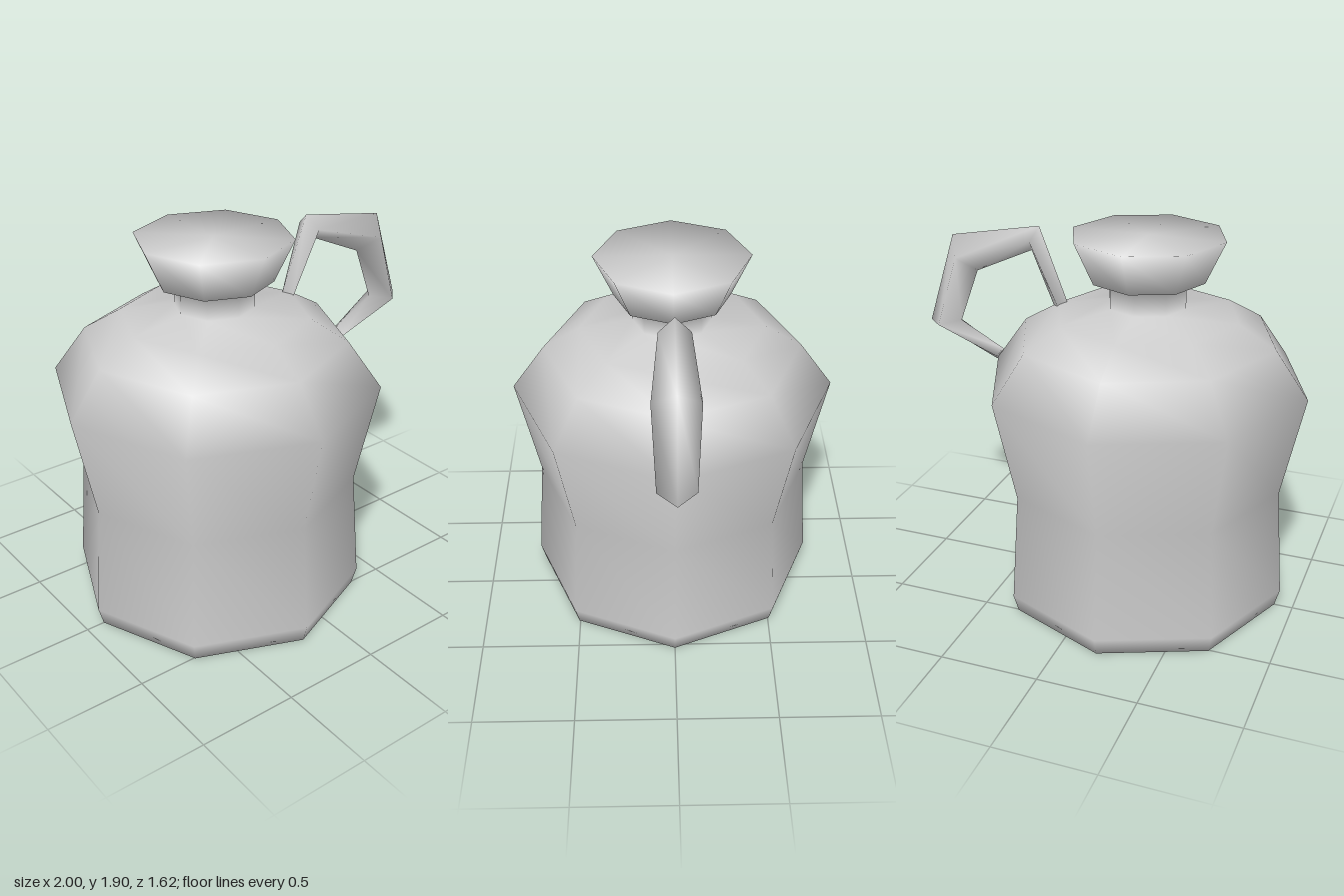
import * as THREE from 'three';
import { mergeVertices } from 'three/addons/utils/BufferGeometryUtils.js';

const material = new THREE.MeshStandardMaterial({ color: 0xcccccc });

// Weld shared corners so shading runs smoothly over every edge
function weld(geometry) {
  geometry.deleteAttribute('normal');
  geometry.deleteAttribute('uv');
  const welded = mergeVertices(geometry, 1e-4);
  welded.computeVertexNormals();
  return welded;
}

// Eight-sided closed jug: flat base, waist, round shoulder, neck and flared lip
function createJug() {
  const profile = [
    [0, 0], [0.715, 0], [0.74, 0.09], [0.70, 0.65], [0.81, 1.17],
    [0.645, 1.40], [0.46, 1.51], [0.195, 1.555], [0.195, 1.69],
    [0.285, 1.69], [0.382, 1.90], [0, 1.90],
  ].map(([r, y]) => new THREE.Vector2(r, y));
  const jug = new THREE.Mesh(weld(new THREE.LatheGeometry(profile, 8)), material);
  jug.name = 'jugBody';
  jug.position.x = -0.19;
  return jug;
}

// Handle lofted through diamond sections: outer ridge, inner ridge, half width
function createHandle() {
  const sections = [
    { outer: [0.225, 1.51], inner: [0.30, 1.49], half: 0.043 },
    { outer: [0.37, 1.888], inner: [0.413, 1.762], half: 0.075 },
    { outer: [0.845, 1.80], inner: [0.715, 1.625], half: 0.11 },
    { outer: [0.996, 1.33], inner: [0.82, 1.347], half: 0.09 },
    { outer: [0.625, 1.16], inner: [0.59, 1.222], half: 0.045 },
  ];
  const positions = [];
  const index = [];
  sections.forEach(({ outer: [ox, oy], inner: [ix, iy], half }, s) => {
    const mx = (ox + ix) / 2, my = (oy + iy) / 2;
    positions.push(ox, oy, 0, mx, my, half, ix, iy, 0, mx, my, -half);
    if (s === 0) return;
    for (let k = 0; k < 4; k++) {
      const a = (s - 1) * 4 + k, b = (s - 1) * 4 + ((k + 1) % 4);
      index.push(a, b, a + 4, b, b + 4, a + 4);
    }
  });
  // End caps
  const e = (sections.length - 1) * 4;
  index.push(0, 2, 1, 0, 3, 2, e, e + 1, e + 2, e, e + 2, e + 3);

  const geometry = new THREE.BufferGeometry();
  geometry.setAttribute('position', new THREE.Float32BufferAttribute(positions, 3));
  geometry.setIndex(index);
  geometry.computeVertexNormals();
  const handle = new THREE.Mesh(geometry, material);
  handle.name = 'handle';
  return handle;
}

export function createModel() {
  const model = new THREE.Group();
  model.name = 'jug';
  model.add(createJug(), createHandle());
  return model;
}
